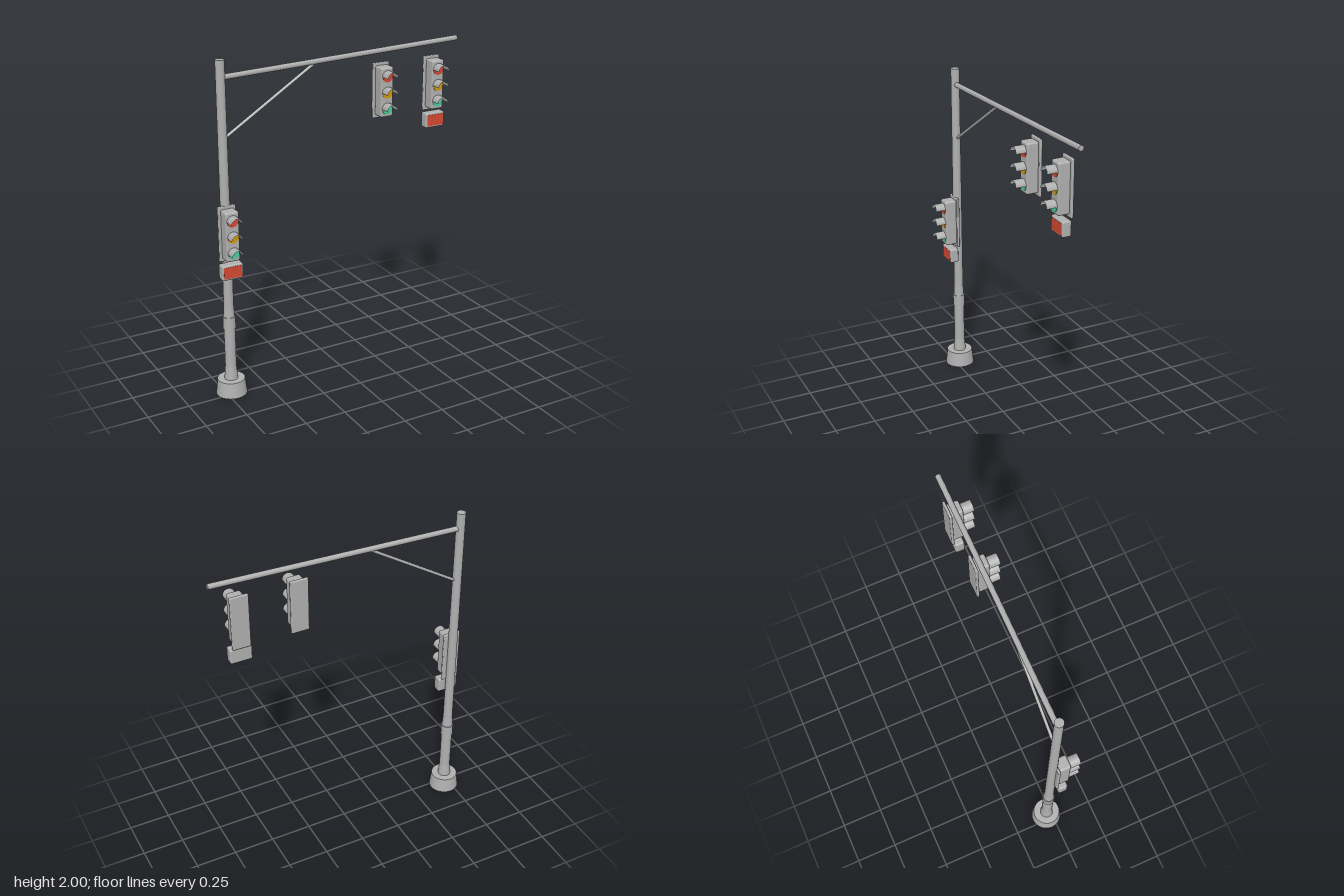
import * as THREE from 'three';
import { RoundedBoxGeometry } from 'three/addons/geometries/RoundedBoxGeometry.js';

const POLE_X = -0.714, POLE_Z = -0.034;

function makeMaterial(name, color, side = THREE.FrontSide) {
  const m = new THREE.MeshStandardMaterial({ color, side });
  m.name = name;
  return m;
}

function add(parent, name, geometry, material, x = 0, y = 0, z = 0) {
  const mesh = new THREE.Mesh(geometry, material);
  mesh.name = name;
  mesh.position.set(x, y, z);
  parent.add(mesh);
  return mesh;
}

// Straight bar between two points
function bar(parent, name, from, to, radius, sides, material) {
  const dir = new THREE.Vector3().subVectors(to, from);
  const mesh = add(parent, name, new THREE.CylinderGeometry(radius, radius, dir.length(), sides), material);
  mesh.position.copy(from).add(to).multiplyScalar(0.5);
  mesh.quaternion.setFromUnitVectors(new THREE.Vector3(0, 1, 0), dir.normalize());
  return mesh;
}

export function createModel() {
  const root = new THREE.Group();
  root.name = 'trafficLight';

  const grey = makeMaterial('metalGrey', 0xb0b0b0, THREE.DoubleSide);
  const red = makeMaterial('signalRed', 0xd64a32);
  const amber = makeMaterial('signalAmber', 0xd39a0a);
  const green = makeMaterial('signalGreen', 0x48cf97);

  // Pole sections: name, bottom y, top y, bottom radius, top radius
  const sections = [
    ['base', 0, 0.095, 0.092, 0.081],
    ['poleFoot', 0.095, 0.175, 0.04, 0.033],
    ['lowerPole', 0.175, 0.45, 0.033, 0.033],
    ['collar', 0.42, 0.495, 0.037, 0.037],
    ['poleNeck', 0.495, 0.56, 0.033, 0.029],
    ['upperPole', 0.56, 2, 0.029, 0.026],
  ];
  for (const [name, y0, y1, r0, r1] of sections) {
    add(root, name, new THREE.CylinderGeometry(r1, r0, y1 - y0, 24), grey, POLE_X, (y0 + y1) / 2, POLE_Z);
  }

  // Overhead arm and its diagonal brace
  const P = (x, y) => new THREE.Vector3(x, y, POLE_Z);
  bar(root, 'arm', P(-0.71, 1.902), P(0.804, 1.952), 0.0165, 8, grey);
  bar(root, 'brace', P(-0.71, 1.557), P(-0.135, 1.918), 0.009, 8, grey);

  // Shared signal geometry
  const plateGeo = new RoundedBoxGeometry(0.109, 0.329, 0.017, 2, 0.006);
  const housingGeo = new RoundedBoxGeometry(0.082, 0.294, 0.075, 3, 0.012);
  const lampGeo = new THREE.CylinderGeometry(0.034, 0.034, 0.006, 12).rotateX(Math.PI / 2);
  const hoodGeo = new THREE.CylinderGeometry(0.035, 0.035, 0.066, 12, 1, true, Math.PI / 2, Math.PI)
    .rotateX(Math.PI / 2);
  const timerGeo = new RoundedBoxGeometry(0.129, 0.091, 0.056, 3, 0.01);
  const timerFaceGeo = new THREE.BoxGeometry(0.11, 0.068, 0.006);

  // One signal head with three hooded lamps and an optional timer box
  function signal(name, x, y, z, hasTimer) {
    const g = new THREE.Group();
    g.name = name;
    g.position.set(x, y, z);
    add(g, 'backPlate', plateGeo, grey, 0, 0, -0.0535);
    add(g, 'housing', housingGeo, grey, 0, 0.002, -0.0115);
    [['redLamp', red], ['amberLamp', amber], ['greenLamp', green]].forEach(([lamp, material], i) => {
      const ly = 0.0955 * (1 - i);
      add(g, lamp, lampGeo, material, 0, ly, 0.026);
      add(g, 'hood', hoodGeo, grey, 0, ly, 0.056);
    });
    if (hasTimer) {
      add(g, 'timerBox', timerGeo, grey, 0, -0.2155, -0.019);
      add(g, 'timerFace', timerFaceGeo, red, 0, -0.2155, 0.0075);
    }
    root.add(g);
  }

  signal('innerSignal', 0.298, 1.6975, 0, false);
  signal('outerSignal', 0.645, 1.6975, 0, true);
  signal('poleSignal', POLE_X, 1.0155, 0.037, true);

  return root;
}
